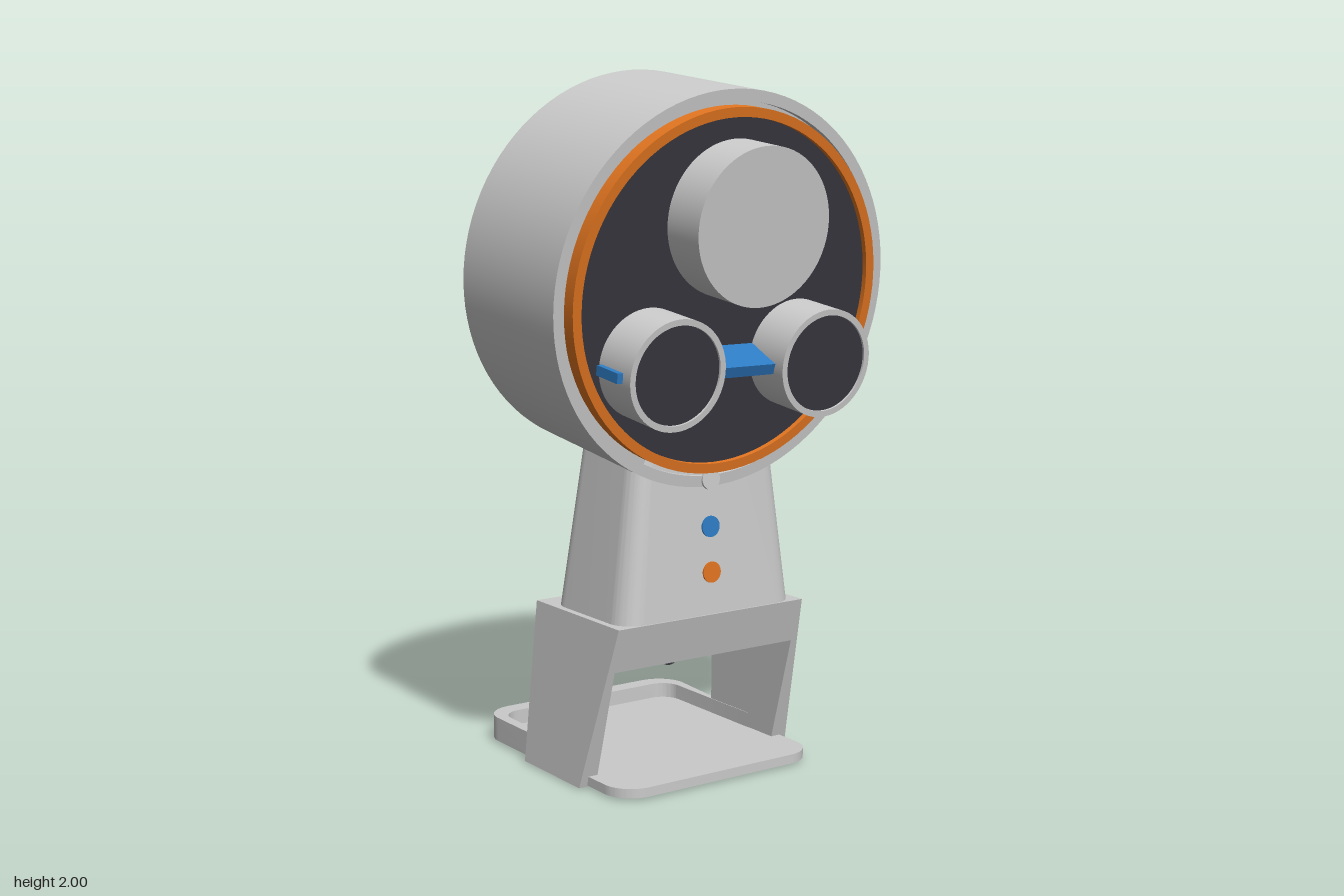
import * as THREE from 'three';
import { toCreasedNormals } from 'three/addons/utils/BufferGeometryUtils.js';

const paint = (name, color) => {
  const m = new THREE.MeshStandardMaterial({ color });
  m.name = name;
  return m;
};

export function createModel() {
  const grey = paint('light grey', 0xcacaca);
  const dark = paint('charcoal', 0x38373f);
  const orange = paint('orange', 0xe07420);
  const blue = paint('blue', 0x2e7cc4);

  const model = new THREE.Group();
  model.name = 'deskDevice';

  const add = (parent, name, geometry, material, x = 0, y = 0, z = 0) => {
    const mesh = new THREE.Mesh(geometry, material);
    mesh.name = name;
    mesh.position.set(x, y, z);
    parent.add(mesh);
    return mesh;
  };
  // Turned part whose axis runs along z; profile points are [radius, z]
  const turned = (profile, sides = 72) => {
    const points = profile.map(([r, z]) => new THREE.Vector2(r, z));
    return toCreasedNormals(new THREE.LatheGeometry(points, sides).rotateX(Math.PI / 2), 0.6);
  };
  const disc = (r, z0, z1, sides) => turned([[0, z0], [r, z0], [r, z1], [0, z1]], sides);
  // Box with different bottom and top rectangles, each [x0, x1, z0, z1]
  const taperedBox = (y0, y1, bottom, top) => {
    const g = new THREE.BoxGeometry(1, 1, 1);
    const p = g.attributes.position;
    for (let i = 0; i < p.count; i++) {
      const upper = p.getY(i) > 0;
      const r = upper ? top : bottom;
      p.setXYZ(i, r[p.getX(i) > 0 ? 1 : 0], upper ? y1 : y0, r[p.getZ(i) > 0 ? 3 : 2]);
    }
    g.computeVertexNormals();
    return g;
  };
  const roundedRect = (w, h, r) => {
    const s = new THREE.Shape();
    s.absarc(w - r, h - r, r, 0, Math.PI / 2);
    s.absarc(-w + r, h - r, r, Math.PI / 2, Math.PI);
    s.absarc(-w + r, -h + r, r, Math.PI, Math.PI * 1.5);
    s.absarc(w - r, -h + r, r, Math.PI * 1.5, Math.PI * 2);
    s.closePath();
    return s;
  };
  // Extrudes an x/-z outline upwards
  const slab = (shape, height) => new THREE.ExtrudeGeometry(shape,
    { depth: height, bevelEnabled: false, curveSegments: 10 }).rotateX(-Math.PI / 2);

  // Tilted drum head, its origin at the centre of the front rim
  const head = new THREE.Group();
  head.name = 'head';
  head.position.set(0, 1.392, 0.2875);
  head.rotation.x = THREE.MathUtils.degToRad(7.5);
  model.add(head);
  add(head, 'drum', turned([[0, -0.474], [0.5525, -0.474], [0.5525, 0], [0.52, 0],
    [0.52, -0.025], [0, -0.025]], 96), grey);
  add(head, 'facePanel', disc(0.485, -0.024, 0.006, 96), dark);
  add(head, 'faceRing', turned([[0.48, -0.024], [0.507, -0.024], [0.507, 0.022],
    [0.48, 0.022], [0.48, -0.024]], 96), orange);
  add(head, 'largeKnob', disc(0.217, 0, 0.147), grey, 0, 0.204, 0);

  // Pair of small dials with dark faces and blue side tabs
  for (const side of [-1, 1]) {
    const name = side > 0 ? 'left' : 'right';
    add(head, name + 'Dial', turned([[0, 0], [0.153, 0], [0.153, 0.155], [0.136, 0.155],
      [0.136, 0.143], [0, 0.143]]), grey, side * 0.25, -0.181, 0);
    add(head, name + 'DialFace', disc(0.1355, 0.143, 0.149), dark, side * 0.25, -0.181, 0);
    add(head, name + 'Tab', new THREE.BoxGeometry(0.1, 0.028, 0.1), blue, side * 0.37, -0.184, 0.07);
  }
  const bridge = add(head, 'bridgePlate', new THREE.BoxGeometry(0.26, 0.032, 0.12), blue, 0, -0.178, 0.06);
  bridge.rotation.x = 0.28;

  // Neck with rounded corners, narrowing upwards into the drum
  const neck = slab(roundedRect(0.30, 0.1875, 0.07), 0.57);
  const np = neck.attributes.position;
  for (let i = 0; i < np.count; i++) {
    const t = np.getY(i) / 0.42;
    np.setX(i, np.getX(i) * (1 - 0.183 * t));
    np.setZ(i, np.getZ(i) * (1 - 0.152 * t) + 0.0425 + 0.0085 * t);
  }
  add(model, 'neck', toCreasedNormals(neck, 0.6), grey, 0, 0.48, 0);

  // Row of indicator buttons
  [['lowerButton', 0.6, 0.225, orange], ['middleButton', 0.73, 0.219, blue],
    ['upperButton', 0.865, 0.219, grey]].forEach(([name, y, z, material]) => {
    add(model, name, disc(0.03, -0.004, 0.004, 32), material, 0, y, z).rotation.x = -0.048;
  });

  // Bridge-shaped stand: crossbar and two sloping legs
  add(model, 'crossbar', taperedBox(0.35, 0.48, [-0.3325, 0.3325, -0.195, 0.198],
    [-0.32, 0.32, -0.195, 0.235]), grey);
  add(model, 'leftLeg', taperedBox(0.004, 0.35, [0.31, 0.366, -0.195, 0.1],
    [0.31, 0.3325, -0.195, 0.198]), grey);
  add(model, 'rightLeg', taperedBox(0.004, 0.35, [-0.366, -0.31, -0.195, 0.1],
    [-0.3325, -0.31, -0.195, 0.198]), grey);

  // Clamp knob under the back of the crossbar
  add(model, 'clampKnob', disc(0.072, -0.2, -0.14, 20), dark, 0, 0.32, 0);
  add(model, 'clampScrew', disc(0.036, -0.14, 0.02, 24), dark, 0, 0.32, 0);

  // Base tray and its raised rear rim
  add(model, 'baseTray', toCreasedNormals(slab(roundedRect(0.34, 0.3825, 0.09), 0.027), 0.6),
    grey, 0, 0.008, -0.1025);
  const rim = new THREE.Shape();
  rim.moveTo(0.34, 0);
  rim.absarc(0.25, 0.395, 0.09, 0, Math.PI / 2);
  rim.absarc(-0.25, 0.395, 0.09, Math.PI / 2, Math.PI);
  rim.lineTo(-0.34, 0);
  rim.lineTo(-0.308, 0);
  rim.absarc(-0.248, 0.37, 0.06, Math.PI, Math.PI / 2, true);
  rim.absarc(0.248, 0.37, 0.06, Math.PI / 2, 0, true);
  rim.lineTo(0.308, 0);
  add(model, 'rearRim', toCreasedNormals(slab(rim, 0.07), 0.6), grey, 0, 0.01, 0);

  // Four round feet
  for (const x of [-0.25, 0.25]) {
    for (const z of [-0.39, 0.185]) {
      add(model, 'foot', new THREE.CylinderGeometry(0.06, 0.06, 0.012, 32), grey, x, 0.006, z);
    }
  }
  return model;
}
